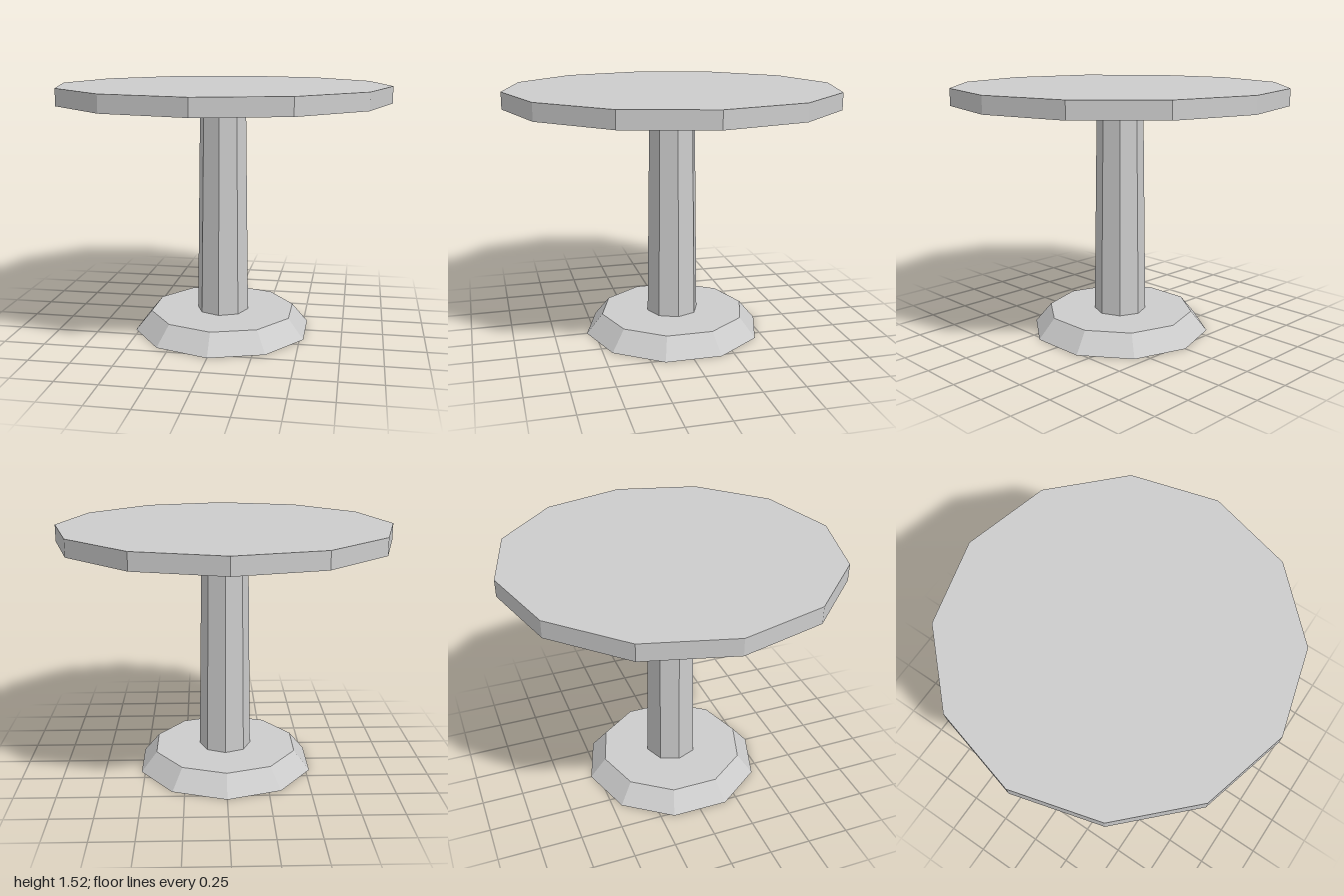
import * as THREE from 'three';

export function createModel() {
  const group = new THREE.Group();
  const grey = new THREE.MeshStandardMaterial({ color: 0xcccccc, flatShading: true });
  grey.name = 'light grey';

  // Faceted round part standing between two heights
  function addPart(name, topRadius, bottomRadius, y0, y1, sides) {
    const geometry = new THREE.CylinderGeometry(topRadius, bottomRadius, y1 - y0, sides);
    const mesh = new THREE.Mesh(geometry, grey);
    mesh.name = name;
    mesh.position.y = (y0 + y1) / 2;
    group.add(mesh);
  }

  addPart('base', 0.45, 0.55, 0, 0.12, 10);
  addPart('column', 0.14, 0.16, 0.12, 1.42, 8);
  addPart('tabletop', 1, 1, 1.42, 1.52, 12);

  group.name = 'pedestal table';
  return group;
}
